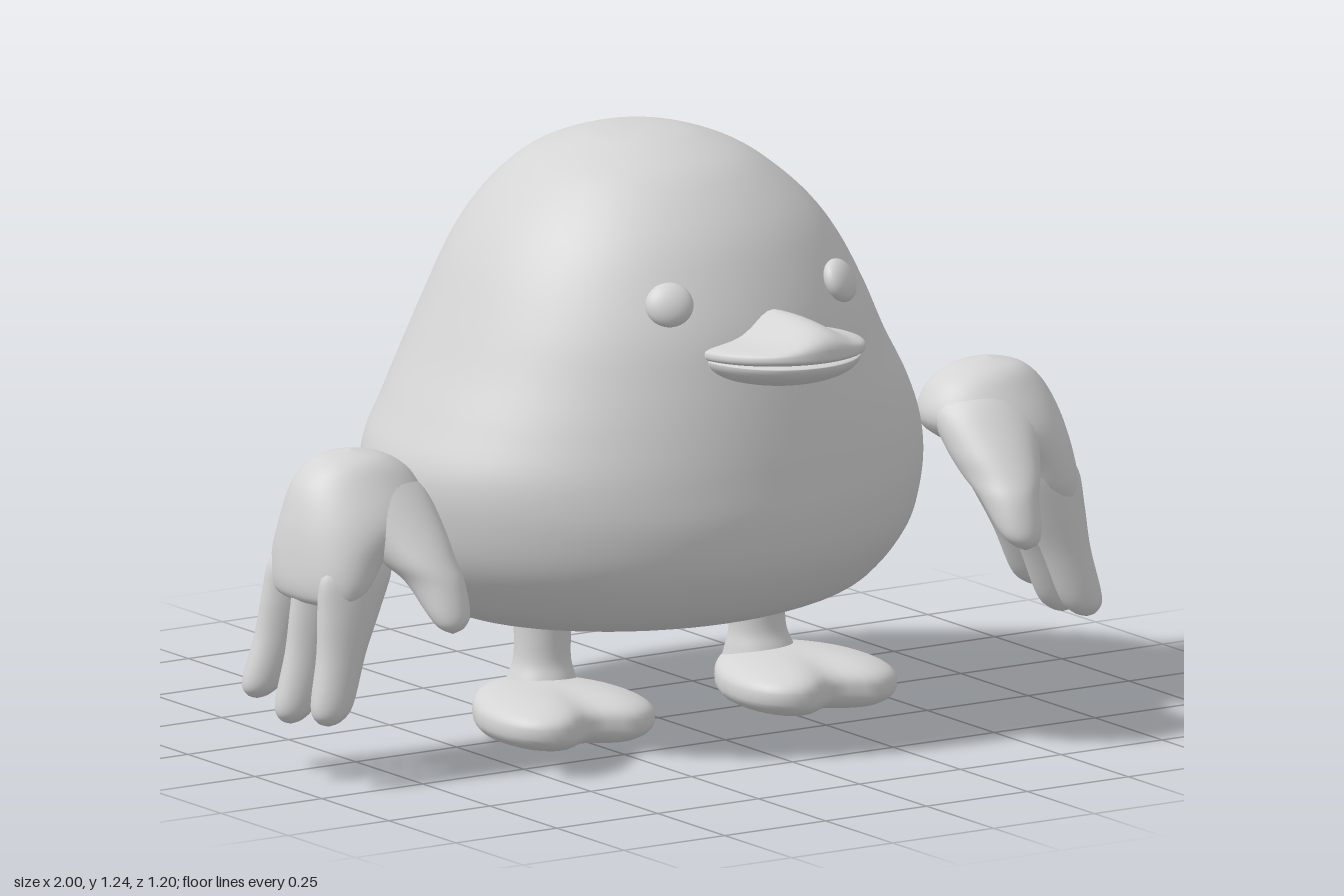
import * as THREE from 'three';

const grey = new THREE.MeshStandardMaterial({ color: 0xd4d4d4 });
grey.name = 'soft grey';

// Smooth closed form through horizontal ellipses [y, centreX, centreZ, radiusX, radiusZ], bottom to top
function loft(name, rows, { side = 1, sides = 40, steps = 5, skew = 0 } = {}) {
  const centres = new THREE.CatmullRomCurve3(rows.map(r => new THREE.Vector3(side * r[1], r[0], r[2])), false, 'catmullrom');
  const radii = new THREE.CatmullRomCurve3(rows.map(r => new THREE.Vector3(r[3], 0, r[4])), false, 'catmullrom');
  const n = (rows.length - 1) * steps;
  const pos = [], idx = [];
  for (let i = 0; i <= n; i++) {
    const c = centres.getPoint(i / n), r = radii.getPoint(i / n);
    for (let j = 0; j < sides; j++) {
      const a = (j / sides) * Math.PI * 2;
      const dz = Math.max(0, r.z) * Math.sin(a);
      pos.push(c.x + Math.max(0, r.x) * Math.cos(a) - skew * dz, c.y, c.z + dz);
      if (i === n) continue;
      const k = (j + 1) % sides, p = i * sides, q = p + sides;
      idx.push(p + j, q + j, p + k, q + j, q + k, p + k);
    }
  }
  const g = new THREE.BufferGeometry();
  g.setAttribute('position', new THREE.Float32BufferAttribute(pos, 3));
  g.setIndex(idx);
  g.computeVertexNormals();
  return part(name, g);
}

function part(name, geometry) {
  const m = new THREE.Mesh(geometry, grey);
  m.name = name;
  return m;
}

// Unit sphere reshaped by a rule (x, y, z) => [x, y, z]
function blob(name, rule) {
  const g = new THREE.SphereGeometry(1, 48, 36);
  const p = g.attributes.position;
  for (let i = 0; i < p.count; i++) p.setXYZ(i, ...rule(p.getX(i), p.getY(i), p.getZ(i)));
  g.computeVertexNormals();
  return part(name, g);
}

// Fuller rounding for a -1..1 coordinate
const plump = (v, power) => Math.sign(v) * Math.abs(v) ** power;

export function createModel() {
  const model = new THREE.Group();
  model.name = 'roundBird';

  // Body: broad and flat below, domed above
  model.add(loft('body', [
    [0.24, 0, -0.13, 0, 0],
    [0.241, 0, -0.13, 0.3, 0.25],
    [0.25, 0, -0.12, 0.395, 0.345],
    [0.27, 0, -0.095, 0.445, 0.41],
    [0.31, 0, -0.072, 0.508, 0.467],
    [0.4, 0, -0.062, 0.58, 0.522],
    [0.5, 0, -0.061, 0.612, 0.539],
    [0.6, 0, -0.063, 0.615, 0.531],
    [0.7, 0.005, -0.06, 0.574, 0.511],
    [0.8, 0.005, -0.062, 0.52, 0.49],
    [0.9, 0.007, -0.062, 0.472, 0.461],
    [1.0, 0.008, -0.067, 0.42, 0.418],
    [1.08, 0.006, -0.07, 0.363, 0.37],
    [1.15, 0, -0.071, 0.291, 0.304],
    [1.2, -0.005, -0.068, 0.219, 0.232],
    [1.235, -0.008, -0.064, 0.13, 0.138],
    [1.247, -0.01, -0.062, 0.064, 0.068],
    [1.25, -0.01, -0.06, 0, 0],
  ], { sides: 64, steps: 6, skew: 0.06 }));

  // Eyes: flattened beads turned along the face
  for (const [x, y, z, name] of [[-0.2, 0.968, 0.342, 'rightEye'], [0.235, 0.963, 0.324, 'leftEye']]) {
    const eye = part(name, new THREE.SphereGeometry(1, 28, 20));
    eye.scale.set(0.05, 0.047, 0.027);
    eye.position.set(x, y, z);
    eye.lookAt(x * 2.5, y + 0.28, z + 0.5);
    model.add(eye);
  }

  // Beak: upper bill with a central ridge, lower bill as a shallow scoop
  model.add(blob('upperBill', (x, y, z) => [
    0.03 + 0.178 * x,
    0.862 + 0.012 * z + plump(y, 0.65) * (y > 0 ? 0.026 + 0.05 * Math.exp(-((x / 0.4) ** 2)) : 0.022),
    0.39 + 0.208 * z,
  ]));
  model.add(blob('lowerBill', (x, y, z) => [
    0.03 + 0.174 * x,
    0.85 + y * (y > 0 ? 0.012 : 0.06),
    0.39 + 0.187 * z,
  ]));

  for (const [side, label] of [[1, 'left'], [-1, 'right']]) {
    // Leg, flared at the ankle
    model.add(loft(label + 'Leg', [
      [0.08, 0.275, -0.03, 0.085, 0.09],
      [0.125, 0.27, -0.03, 0.07, 0.072],
      [0.16, 0.267, -0.032, 0.06, 0.06],
      [0.21, 0.265, -0.034, 0.059, 0.059],
      [0.27, 0.265, -0.035, 0.06, 0.06],
    ], { side }));

    // Foot: heart-shaped pad with two toes in front
    model.add(blob(label + 'Foot', (x, y, z) => {
      const groove = Math.exp(-((x / 0.28) ** 2)) * Math.max(z, 0);
      return [
        side * 0.3 + 0.2 * x * (0.87 + 0.25 * z),
        0.067 - 0.004 * z + 0.061 * plump(y, 0.75) * (1 - 0.2 * groove) * (1 + 0.05 * z),
        0.05 + 0.198 * z + (z > 0 ? 0.035 * z * (1 - z * z) + 0.018 * z : 0) - 0.06 * groove,
      ];
    }));

    // Hand: palm, thumb reaching forward, three fingers hanging down and out
    const hand = new THREE.Group();
    hand.name = label + 'Hand';
    hand.add(loft('palm', [
      [0.375, 0.895, 0.065, 0, 0],
      [0.385, 0.893, 0.065, 0.05, 0.11],
      [0.415, 0.875, 0.062, 0.083, 0.14],
      [0.48, 0.848, 0.055, 0.106, 0.147],
      [0.55, 0.79, 0.05, 0.15, 0.146],
      [0.62, 0.782, 0.04, 0.13, 0.112],
      [0.665, 0.787, 0.04, 0.076, 0.068],
      [0.682, 0.79, 0.04, 0, 0],
    ], { side }));
    hand.add(loft('thumb', [
      [0.328, 0.71, 0.302, 0, 0],
      [0.342, 0.71, 0.298, 0.028, 0.026],
      [0.37, 0.708, 0.282, 0.046, 0.044],
      [0.43, 0.712, 0.235, 0.06, 0.069],
      [0.47, 0.725, 0.184, 0.078, 0.095],
      [0.52, 0.736, 0.135, 0.097, 0.103],
      [0.59, 0.758, 0.072, 0.116, 0.104],
      [0.64, 0.775, 0.05, 0.085, 0.08],
    ], { side }));
    // Each finger: base z, tip z, tip x, tip y
    for (const [z0, z1, tipX, tipY] of [[0.145, 0.183, 0.94, 0.138], [0.065, 0.068, 0.957, 0.125], [-0.03, -0.042, 0.967, 0.16]]) {
      const at = (t, rx, rz) => [
        THREE.MathUtils.lerp(tipY, 0.5, t),
        THREE.MathUtils.lerp(tipX, 0.835, t),
        THREE.MathUtils.lerp(z1, z0, t), rx, rz,
      ];
      hand.add(loft('finger', [
        at(0, 0, 0), at(0.03, 0.027, 0.022), at(0.12, 0.047, 0.037), at(0.4, 0.056, 0.039),
        at(0.65, 0.074, 0.043), at(0.85, 0.085, 0.042), at(1, 0.06, 0.03),
      ], { side, sides: 24 }));
    }
    model.add(hand);
  }
  return model;
}
